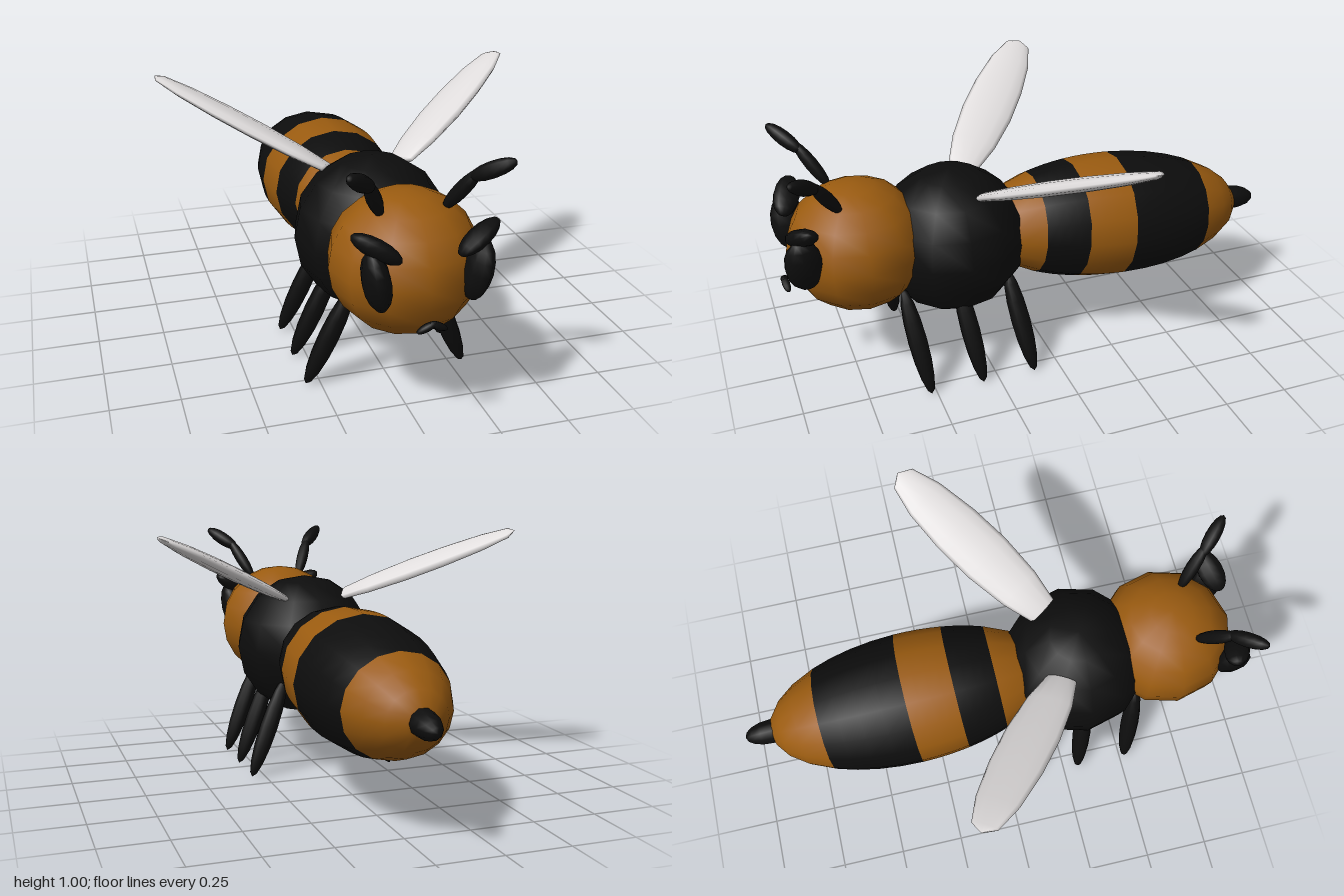
import * as THREE from 'three';

const V = (x, y, z) => new THREE.Vector3(x, y, z);
const UP = V(0, 1, 0);

export function createModel() {
  const bee = new THREE.Group();
  bee.name = 'bee';

  const material = (name, color) => {
    const m = new THREE.MeshStandardMaterial({ color });
    m.name = name;
    return m;
  };
  const amber = material('amber', 0x9a5b10);
  const black = material('black', 0x0d0d0d);
  const wingWhite = material('wing white', 0xe0dddd);

  const add = (name, geometry, mat) => {
    const mesh = new THREE.Mesh(geometry, mat);
    mesh.name = name;
    bee.add(mesh);
    return mesh;
  };

  // Ellipsoid stretched between two points, with two cross radii
  const spindle = (name, a, b, rx, rz = rx) => {
    const geo = new THREE.SphereGeometry(1, 10, 8);
    geo.scale(rx, a.distanceTo(b) / 2, rz);
    const mesh = add(name, geo, black);
    mesh.position.copy(a).add(b).multiplyScalar(0.5);
    mesh.quaternion.setFromUnitVectors(UP, b.clone().sub(a).normalize());
    return mesh;
  };

  // Head and thorax
  const head = new THREE.SphereGeometry(1, 12, 10).scale(0.265, 0.25, 0.265);
  add('head', head, amber).position.set(0, 0.54, 0.7);
  const thorax = new THREE.SphereGeometry(0.29, 12, 8);
  add('thorax', thorax, black).position.set(0, 0.495, 0.335);

  // Abdomen: one long ellipsoid cut into coloured bands along its axis
  const length = 0.57;
  const cuts = [0.57, 0.345, 0.182, -0.007, -0.35, -0.57]; // distance ahead of its centre
  for (let i = 0; i < 5; i++) {
    const t0 = Math.acos(-cuts[i + 1] / length);
    const t1 = Math.acos(-cuts[i] / length);
    const geo = new THREE.SphereGeometry(1, 16, 4, 0, Math.PI * 2, t0, t1 - t0);
    geo.scale(0.262, length, 0.247).rotateX(-Math.PI / 2 - 0.075);
    add('abdomenBand' + (i + 1), geo, i % 2 ? black : amber).position.set(0, 0.47, -0.33);
  }

  // Stinger
  spindle('stinger', V(0, 0.448, -0.78), V(0, 0.428, -1), 0.05);

  // Wing outline: blunt root, broad middle, rounded tip
  const outline = [[0, 0], [0.06, 0.005], [0.088, 0.13], [0.103, 0.3], [0.1, 0.46],
    [0.082, 0.62], [0.05, 0.73], [0, 0.76]].map(([r, y]) => new THREE.Vector2(r, y));

  for (const s of [1, -1]) {
    const side = s > 0 ? 'left' : 'right';
    const P = (x, y, z) => V(s * x, y, z);

    // Wing: flattened lathe swept up, out and back
    const wing = add(side + 'Wing', new THREE.LatheGeometry(outline, 12).scale(1, 1, 0.27), wingWhite);
    const along = P(0.555, 0.275, -0.435).normalize();
    const across = P(0.5, 0.25, 0.8);
    across.addScaledVector(along, -across.dot(along)).normalize();
    const normal = across.clone().cross(along);
    wing.quaternion.setFromRotationMatrix(new THREE.Matrix4().makeBasis(across, along, normal));
    wing.position.copy(P(0.14, 0.715, 0.238));

    // Eye and brow
    spindle(side + 'Eye', P(0.15, 0.475, 0.915), P(0.19, 0.69, 0.93), 0.047, 0.07);
    spindle(side + 'Brow', P(0.095, 0.65, 0.95), P(0.245, 0.735, 0.89), 0.033, 0.05);

    // Two-part antenna
    spindle(side + 'AntennaBase', P(0.107, 0.735, 0.765), P(0.188, 0.9, 0.87), 0.026);
    spindle(side + 'AntennaTip', P(0.16, 0.865, 0.845), P(0.27, 0.947, 0.952), 0.029);

    // Half of the chevron mouth
    spindle(side + 'Mouth', P(0.052, 0.411, 0.975), P(-0.012, 0.446, 0.985), 0.013, 0.015);

    // Three legs
    [[0.57, 0.52], [0.36, 0.312], [0.16, 0.103]].forEach(([top, foot], i) => {
      spindle(side + 'Leg' + (i + 1), P(0.14, 0.39, top), P(0.302, 0, foot), 0.037);
    });
  }
  return bee;
}
